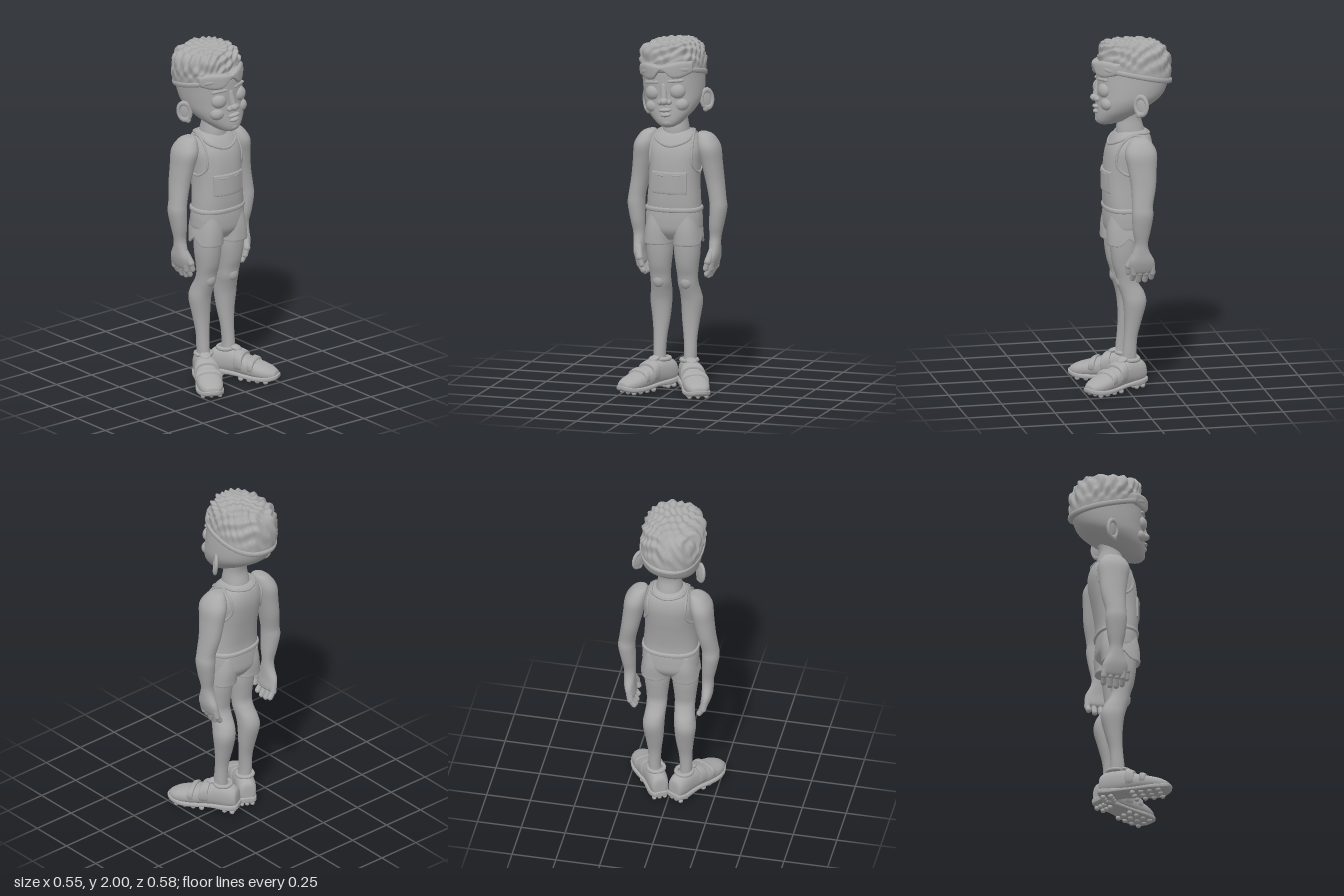
import * as THREE from 'three';

const clay = new THREE.MeshStandardMaterial({ color: 0xa8a8a8 });
clay.name = 'clay grey';

// Smoothly interpolated section: [height, xMin, xMax, zCentre, zHalfWidth]
function at(S, t) {
  const i = Math.min(Math.floor(t), S.length - 2), f = t - i;
  const p = (k) => S[Math.max(0, Math.min(S.length - 1, k))];
  return S[0].map((_, c) => {
    const a = p(i - 1)[c], b = p(i)[c], d = p(i + 1)[c], e = p(i + 2)[c];
    return b + 0.5 * f * (d - a + f * (2 * a - 5 * b + 4 * d - e + f * (3 * (b - d) + e - a)));
  });
}

// Point on the superellipse outline of a section
function rim([y, x0, x1, zc, rz], a, n, out = 0) {
  const k = (v) => Math.sign(v) * Math.abs(v) ** (2 / n);
  return new THREE.Vector3((x0 + x1) / 2 + ((x1 - x0) / 2 + out) * k(Math.cos(a)), y, zc + (rz + out) * k(Math.sin(a)));
}

// Closed smooth body through sections listed from bottom to top
function loft(S, { n = 2.2, seg = 32, steps = 5, warp } = {}) {
  const pos = [], idx = [], rows = (S.length - 1) * steps;
  const push = (v) => { if (warp) warp(v); pos.push(v.x, v.y, v.z); };
  for (let r = 0; r <= rows; r++) {
    const s = at(S, r / steps);
    for (let j = 0; j < seg; j++) push(rim(s, j / seg * Math.PI * 2, n));
  }
  for (const s of [S[0], S[S.length - 1]]) push(new THREE.Vector3((s[1] + s[2]) / 2, s[0], s[3]));
  const c0 = (rows + 1) * seg, top = rows * seg;
  for (let j = 0; j < seg; j++) {
    const k = (j + 1) % seg;
    for (let r = 0; r < rows; r++) {
      const a = r * seg, b = a + seg;
      idx.push(a + j, b + j, a + k, a + k, b + j, b + k);
    }
    idx.push(c0, j, k, c0 + 1, top + k, top + j);
  }
  const g = new THREE.BufferGeometry();
  g.setAttribute('position', new THREE.Float32BufferAttribute(pos, 3));
  g.setIndex(idx);
  g.computeVertexNormals();
  return g;
}

function add(parent, name, geo) {
  const m = new THREE.Mesh(geo, clay);
  m.name = name;
  parent.add(m);
  return m;
}

function ball(parent, name, p, r) {
  const m = add(parent, name, new THREE.SphereGeometry(1, 20, 14));
  m.position.set(...p);
  m.scale.set(...r);
  return m;
}

function capsule(parent, name, a, b, r) {
  const A = new THREE.Vector3(...a), d = new THREE.Vector3(...b).sub(A);
  const m = add(parent, name, new THREE.CapsuleGeometry(r, d.length(), 6, 12));
  m.position.copy(A).addScaledVector(d, 0.5);
  m.quaternion.setFromUnitVectors(new THREE.Vector3(0, 1, 0), d.normalize());
}

const TORSO = [[1.03, -.115, .11, 0, .155], [1.1, -.115, .115, 0, .15], [1.2, -.13, .115, 0, .143], [1.3, -.15, .11, 0, .145],
  [1.38, -.16, .095, 0, .15], [1.44, -.152, .065, 0, .13], [1.475, -.13, .035, 0, .095], [1.49, -.09, .01, 0, .05]];

// Raised seam lying on the shirt, given as [height, angle in degrees]
function seam(parent, name, list, r) {
  const pts = list.map(([y, deg]) => {
    let t = 0;
    while (t < TORSO.length - 1 && at(TORSO, t)[0] < y) t += 0.02;
    return rim(at(TORSO, Math.min(t, TORSO.length - 1)), deg * Math.PI / 180, 2.4);
  });
  add(parent, name, new THREE.TubeGeometry(new THREE.CatmullRomCurve3(pts, true), 72, r, 6, true));
}

function buildBody(g) {
  add(g, 'tankTop', loft(TORSO, { n: 2.4 }));
  add(g, 'shirtHem', loft([[1.03, -.11, .105, 0, .15], [1.034, -.122, .117, 0, .162], [1.052, -.122, .118, 0, .161], [1.058, -.112, .11, 0, .15]], { n: 2.4, steps: 3 }));
  seam(g, 'neckline', [[1.405, 0], [1.435, 40], [1.472, 85], [1.47, 130], [1.46, 180], [1.47, 230], [1.472, 275], [1.435, 320]], .008);
  for (const s of [1, -1])
    seam(g, 'armhole', [[1.468, 92], [1.44, 60], [1.38, 50], [1.3, 56], [1.25, 85], [1.27, 115], [1.34, 138], [1.42, 132]].map(([y, a]) => [y, a * s]), .008);
  add(g, 'neck', loft([[1.42, -.13, .04, 0, .08], [1.49, -.115, .04, 0, .073], [1.56, -.1, .03, 0, .064], [1.64, -.12, .05, 0, .07]]));

  // Curved number bib with pins
  const bib = [-.1, -.097, -.05, 0, .05, .097, .1].map((z) => [z, .1 - 2.6 * z * z, .126 - 2.6 * z * z, -1.2, Math.abs(z) > .098 ? .055 : .062]);
  add(g, 'bib', loft(bib, { n: 8 })).rotation.x = Math.PI / 2;
  for (const s of [1, -1]) capsule(g, 'bibPin', [.122, 1.243, .03 * s], [.112, 1.243, .065 * s], .005);

  // Shorts
  add(g, 'shortsSeat', loft([[.87, -.08, .07, 0, .07], [.92, -.113, .105, 0, .15], [.98, -.116, .112, 0, .16], [1.04, -.112, .11, 0, .156]], { n: 2.4 }));
  for (const s of [1, -1]) {
    add(g, 'shortsLeg', loft([[.855, -.07, .09, .083 * s, .06], [.842, -.1, .11, .085 * s, .08], [.87, -.105, .113, .085 * s, .08], [.94, -.11, .11, .08 * s, .077], [1.02, -.1, .095, .075 * s, .068]], {
      n: 2.4,
      warp: (v) => { if (v.y < .93 && v.z * s > .11) v.y += .05 * Math.exp(-((v.x / .03) ** 2)) * (.93 - v.y) / .09; },
    }));
    add(g, 'leg', loft([[.12, -.055, .03, .085 * s, .036], [.2, -.055, .025, .09 * s, .034], [.3, -.06, .015, .088 * s, .038], [.4, -.085, .012, .087 * s, .05],
      [.5, -.11, .02, .09 * s, .06], [.56, -.1, .035, .085 * s, .058], [.61, -.07, .052, .08 * s, .057], [.66, -.05, .06, .08 * s, .058],
      [.72, -.055, .078, .08 * s, .064], [.8, -.065, .09, .08 * s, .073], [.9, -.07, .095, .08 * s, .074]]));
    ball(g, 'kneecap', [.035, .625, .08 * s], [.026, .04, .035]);
  }
}

function buildArm(g, s) {
  const arm = new THREE.Group();
  arm.name = s < 0 ? 'leftArm' : 'rightArm';
  add(arm, 'armAndPalm', loft([[.695, -.1, -.02, .205, .012], [.715, -.13, .004, .209, .024], [.77, -.13, .012, .22, .03], [.83, -.1, -.008, .222, .032],
    [.88, -.092, -.018, .224, .033], [.95, -.105, -.005, .231, .041], [1.04, -.118, .002, .24, .048], [1.1, -.118, 0, .235, .047], [1.2, -.138, .002, .217, .051],
    [1.3, -.146, .016, .2, .057], [1.39, -.15, .03, .185, .062], [1.45, -.12, 0, .165, .045], [1.47, -.09, -.03, .15, .022]].map(([y, a, b, z, r]) => [y, a, b, z * s, r])));
  // Fingers and thumb
  [[-.116, .668], [-.08, .655], [-.044, .655], [-.01, .668]].forEach(([x, y]) => {
    capsule(arm, 'finger', [x, .735, .214 * s], [x - .004, .7, .207 * s], .0185);
    capsule(arm, 'fingertip', [x - .004, .7, .207 * s], [x - .002, y, .186 * s], .016);
  });
  capsule(arm, 'thumbBase', [-.015, .8, .215 * s], [.014, .745, .2 * s], .02);
  capsule(arm, 'thumbTip', [.014, .745, .2 * s], [.014, .705, .188 * s], .016);
  g.add(arm);
}

function buildShoe(g, s) {
  const shoe = new THREE.Group();
  shoe.name = s < 0 ? 'leftShoe' : 'rightShoe';
  // Sections run heel to toe: [length, top, bottom, half width]
  const along = (name, list, n) => {
    add(shoe, name, loft(list.map(([x, t, b, w]) => [x, -t, -b, 0, w]), { n })).rotation.z = Math.PI / 2;
  };
  const flip = (name, list, n) => {
    const m = add(shoe, name, loft(list.map(([x, t, b, w]) => [x, -t, -b, 0, w]), { n, steps: 4 }));
    m.rotation.z = -Math.PI / 2;
    return m;
  };
  flip('upper', [[-.1, .11, .055, .025], [-.092, .15, .04, .045], [-.05, .172, .03, .055], [.02, .176, .03, .056], [.07, .162, .03, .06],
    [.13, .135, .025, .068], [.2, .112, .02, .073], [.26, .092, .02, .062], [.3, .07, .03, .034]], 2.3);
  flip('sole', [[-.108, .06, .04, .025], [-.1, .066, .032, .045], [-.05, .06, .022, .058], [.05, .05, .026, .058], [.13, .045, .018, .07],
    [.2, .045, .014, .078], [.26, .048, .016, .067], [.3, .055, .026, .042], [.313, .055, .038, .02]], 4);
  flip('strap', [[.06, .166, .05, .058], [.064, .176, .045, .066], [.105, .16, .045, .072], [.11, .145, .05, .066]], 2.4);
  flip('toeStrap', [[.145, .13, .05, .068], [.149, .139, .045, .075], [.175, .13, .045, .077], [.18, .118, .05, .07]], 2.4);
  const collar = add(shoe, 'collar', new THREE.TorusGeometry(.045, .012, 10, 28));
  collar.rotation.x = Math.PI / 2;
  collar.position.set(-.01, .172, 0);
  const tongue = ball(shoe, 'tongue', [.05, .178, 0], [.035, .014, .032]);
  tongue.rotation.z = -.3;
  // Studs under the sole
  for (const x of [-.075, -.03, .1, .15, .2, .25])
    for (const z of [-1, 0, 1]) ball(shoe, 'stud', [x, .014, z * (x < 0 ? .03 : .048)], [.015, .014, .013]);
  shoe.position.set(-.015, 0, .085 * s);
  shoe.rotation.y = -.5 * s;
  g.add(shoe);
}

function buildHead(g) {
  const head = new THREE.Group(), pivot = 1.58;
  head.name = 'head';
  const h = new THREE.Group();
  h.name = 'headParts';
  h.position.y = -pivot;
  head.position.y = pivot;
  head.rotation.x = .1; // slight sideways tilt
  head.add(h);
  add(h, 'skull', loft([[1.522, .06, .135, 0, .03], [1.535, .01, .153, 0, .06], [1.56, -.04, .16, 0, .09], [1.6, -.11, .157, 0, .128], [1.65, -.19, .152, 0, .156],
    [1.7, -.235, .148, 0, .166], [1.78, -.258, .148, 0, .168], [1.86, -.25, .14, 0, .163], [1.92, -.2, .09, 0, .12]], { seg: 44 }));

  // Curly flat-topped hair, base rising to the front
  const tilt = (v) => { v.y += .24 * (v.x + .06) * Math.max(0, Math.min(1, (2 - v.y) / .2)); };
  add(h, 'hair', loft([[1.79, -.255, .11, 0, .165], [1.81, -.268, .128, 0, .172], [1.85, -.27, .13, 0, .174], [1.9, -.265, .125, 0, .172], [1.945, -.245, .115, 0, .157],
    [1.975, -.2, .09, 0, .125], [1.99, -.13, .04, 0, .07], [1.994, -.06, -.03, 0, .02]], {
    seg: 96, steps: 7, n: 2.3,
    warp: (v) => {
      const k = .012 * Math.sin(v.x * 95 + 2 * Math.sin(v.z * 31)) * Math.sin(v.z * 88 + 1.5 * Math.sin(v.x * 23) + v.y * 70);
      const up = Math.max(0, Math.min(1, (v.y - 1.82) / .05));
      const a = Math.atan2(v.z, v.x + .07), side = Math.min(1, Math.hypot(v.z, v.x + .07) / .17);
      tilt(v);
      v.x += k * up * side * Math.cos(a);
      v.z += k * up * side * Math.sin(a);
      v.y += k * up * .7;
    },
  }));
  add(h, 'goggleBand', loft([[1.785, -.25, .14, 0, .16], [1.79, -.272, .158, 0, .178], [1.812, -.278, .158, 0, .18], [1.818, -.25, .14, 0, .165]], { seg: 48, steps: 3, warp: tilt }));

  // Goggles wrapping the forehead: [z, bottom, top]
  const lens = [[.155, 1.832, 1.858], [.148, 1.815, 1.878], [.1, 1.796, 1.888], [.055, 1.8, 1.886], [.025, 1.832, 1.88], [0, 1.85, 1.874]];
  const all = [...lens.map(([z, b, t]) => [-z, b, t]), ...lens.slice(0, -1).reverse()];
  add(h, 'goggles', loft(all.map(([z, b, t]) => [z, .09 - 4 * z * z, .172 - 4.2 * z * z, -(b + t) / 2, (t - b) / 2]), { n: 4 })).rotation.x = Math.PI / 2;

  // Face
  capsule(h, 'noseBridge', [.138, 1.76, 0], [.155, 1.69, 0], .018);
  ball(h, 'noseTip', [.16, 1.675, 0], [.027, .022, .026]);
  ball(h, 'upperLip', [.155, 1.625, 0], [.02, .012, .038]);
  ball(h, 'lowerLip', [.153, 1.597, 0], [.02, .013, .032]);
  ball(h, 'chin', [.135, 1.553, 0], [.027, .025, .04]);
  for (const s of [1, -1]) {
    ball(h, 'nostril', [.15, 1.668, .025 * s], [.02, .016, .017]);
    ball(h, 'closedEye', [.122, 1.722, .073 * s], [.033, .042, .045]).rotation.y = -.35 * s;
    capsule(h, 'eyebrow', [.143, 1.783, .035 * s], [.118, 1.782, .105 * s], .009);
    ball(h, 'cheek', [.105, 1.645, .075 * s], [.04, .04, .05]);
    const ear = new THREE.Group();
    ear.name = 'ear';
    const edge = add(ear, 'earRim', new THREE.TorusGeometry(.036, .011, 10, 28));
    edge.scale.y = 1.4;
    ball(ear, 'earBowl', [0, 0, -.004 * s], [.036, .052, .011]);
    ball(ear, 'earLobe', [.015, -.05, 0], [.018, .02, .012]);
    ear.position.set(-.065, 1.64, .178 * s);
    ear.rotation.y = .65 * s;
    h.add(ear);
  }
  g.add(head);
}

export function createModel() {
  const g = new THREE.Group();
  g.name = 'runner';
  buildBody(g);
  for (const s of [1, -1]) {
    buildArm(g, s);
    buildShoe(g, s);
  }
  buildHead(g);
  return g;
}
